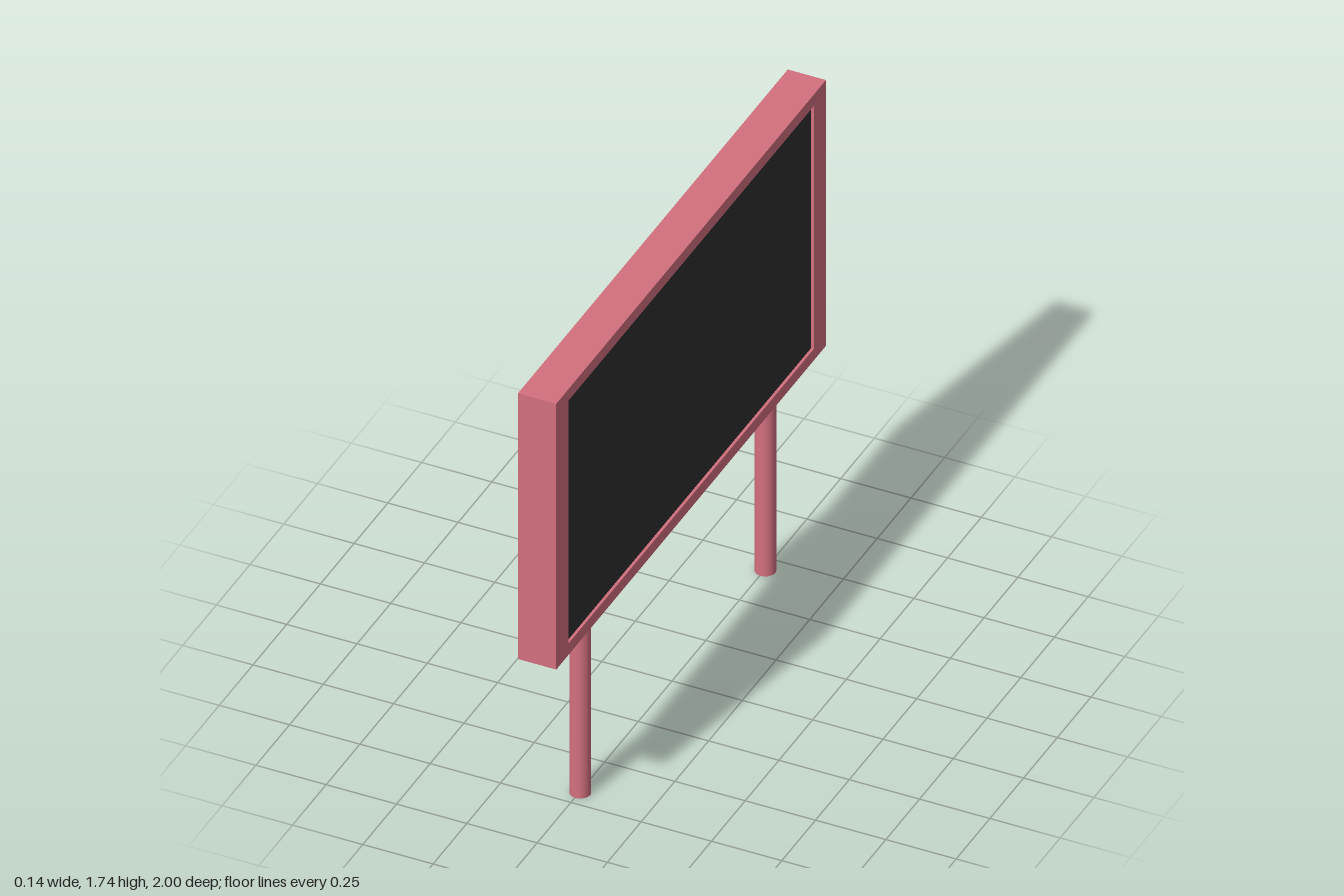
import * as THREE from 'three';

export function createModel() {
  const model = new THREE.Group();
  const red = new THREE.MeshStandardMaterial({ color: 0xd4707f });
  const dark = new THREE.MeshStandardMaterial({ color: 0x303030 });

  const add = (name, geometry, material, x, y, z) => {
    const mesh = new THREE.Mesh(geometry, material);
    mesh.name = name;
    mesh.position.set(x, y, z);
    model.add(mesh);
    return mesh;
  };

  const width = 2, height = 1.042, depth = 0.136;
  const baseY = 0.7, midY = baseY + height / 2;
  const lip = 0.012; // how far the screen sits behind the frame
  const screenW = 1.82, screenH = 0.952;
  const screenX = depth / 2 - lip;

  // Solid housing behind the screen
  add('housing', new THREE.BoxGeometry(depth - lip, height, width), red, -lip / 2, midY, 0);

  // Raised border around the screen, facing +x
  const border = new THREE.Shape([
    new THREE.Vector2(-width / 2, -height / 2), new THREE.Vector2(width / 2, -height / 2),
    new THREE.Vector2(width / 2, height / 2), new THREE.Vector2(-width / 2, height / 2),
  ]);
  border.holes.push(new THREE.Path([
    new THREE.Vector2(-screenW / 2, -screenH / 2), new THREE.Vector2(-screenW / 2, screenH / 2),
    new THREE.Vector2(screenW / 2, screenH / 2), new THREE.Vector2(screenW / 2, -screenH / 2),
  ]));
  const borderGeometry = new THREE.ExtrudeGeometry(border, { depth: lip, bevelEnabled: false });
  borderGeometry.rotateY(Math.PI / 2);
  add('frameBorder', borderGeometry, red, screenX, midY, 0);

  // Dark display panel
  const screenGeometry = new THREE.PlaneGeometry(screenW, screenH).rotateY(Math.PI / 2);
  add('screen', screenGeometry, dark, screenX + 0.002, midY, 0);

  // Two round support posts
  for (const [name, side] of [['frontPost', 1], ['backPost', -1]]) {
    add(name, new THREE.CylinderGeometry(0.035, 0.035, baseY, 32), red, 0.003, baseY / 2, side * 0.686);
  }

  return model;
}
